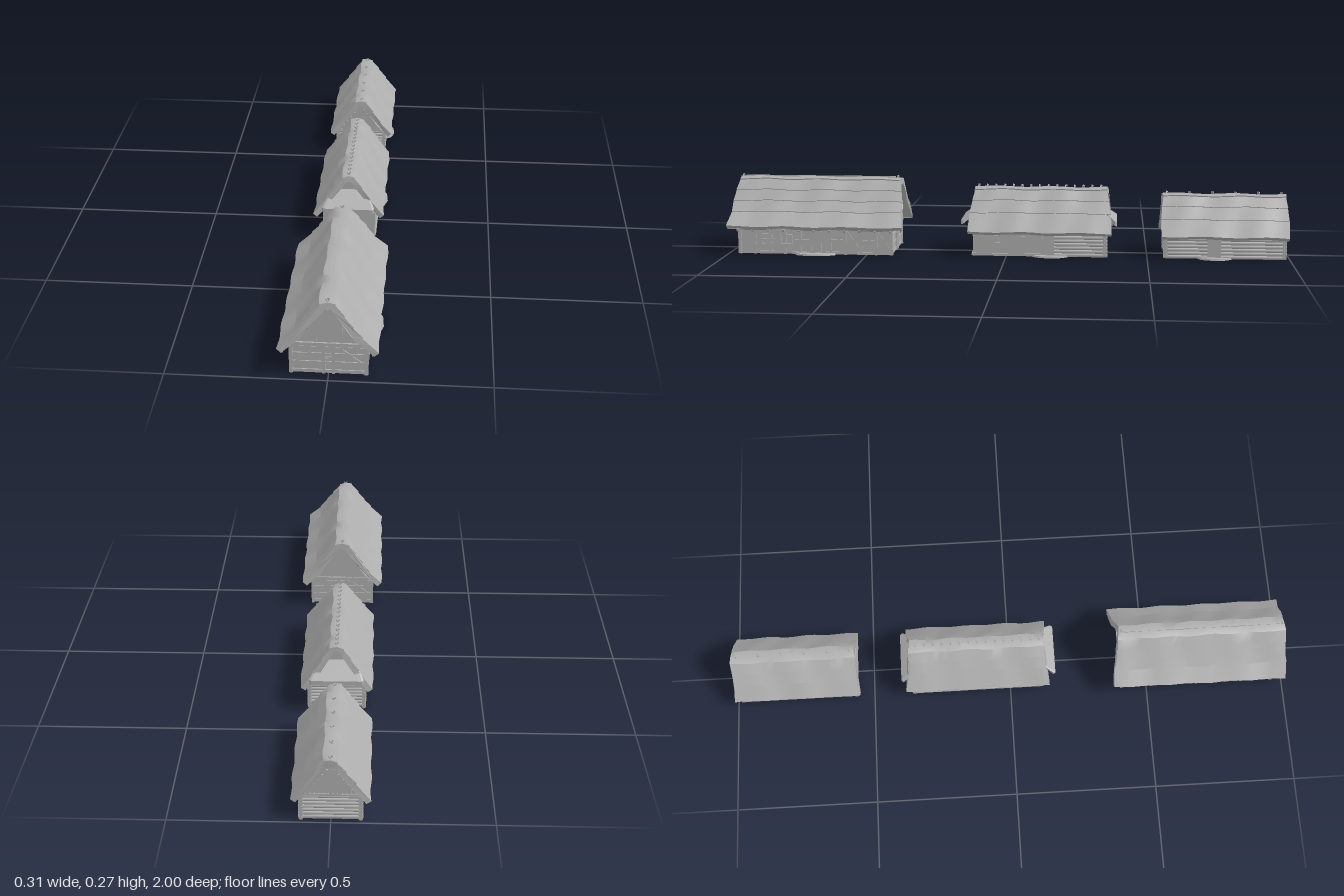
import * as THREE from 'three';
import { toCreasedNormals } from 'three/addons/utils/BufferGeometryUtils.js';
import { ConvexGeometry } from 'three/addons/geometries/ConvexGeometry.js';

const grey = new THREE.MeshStandardMaterial({ color: 0xaeaeae });
grey.name = 'weathered grey';

function add(g, name, geo) {
  const m = new THREE.Mesh(geo, grey);
  m.name = name;
  g.add(m);
  return m;
}

function box(g, name, w, h, d, x, y, z) {
  add(g, name, new THREE.BoxGeometry(w, h, d)).position.set(x, y, z);
}

// Squared timber from point a to point b
function beam(g, name, a, b, t = 0.008) {
  const A = new THREE.Vector3(...a), B = new THREE.Vector3(...b);
  const m = add(g, name, new THREE.BoxGeometry(t, t, A.distanceTo(B)));
  m.position.copy(A).lerp(B, 0.5);
  m.lookAt(B);
}

// Round log along x or z
function log(g, axis, len, r, x, y, z) {
  const geo = new THREE.CylinderGeometry(r, r, len, 8);
  if (axis === 'x') geo.rotateZ(Math.PI / 2); else geo.rotateX(Math.PI / 2);
  add(g, 'wallLog', geo).position.set(x, y, z);
}

// Solid body: outline in x/y, extruded between z0 and z1
function body(g, name, pts, z0, z1) {
  const geo = new THREE.ExtrudeGeometry(new THREE.Shape(pts.map(p => new THREE.Vector2(...p))), { depth: z1 - z0, bevelEnabled: false });
  add(g, name, geo.translate(0, 0, z0));
}

// Thatch: stepped courses over a mirrored profile, gently uneven, ends leaning inwards
function thatch(g, prof, z0, z1, thick, inset) {
  const P = prof.map(p => new THREE.Vector2(...p));
  const normal = (a, b) => new THREE.Vector2(a.y - b.y, b.x - a.x).normalize();
  const outer = [], inner = [];
  for (let i = 0; i < P.length - 1; i++) {
    const n = normal(P[i], P[i + 1]);
    outer.push(P[i].clone(), P[i + 1].clone().addScaledVector(n, 0.004));
    if (i) inner.unshift(P[i].clone().addScaledVector(n, -thick));
    if (i === P.length - 2) inner.unshift(P[i + 1].clone().addScaledVector(n, -thick * 0.8));
  }
  const half = [...outer, ...inner];
  const left = half.slice(1).reverse().map(p => new THREE.Vector2(-p.x, p.y));
  const nIn = inner.length;
  // Right outer, right inner, underside of ridge, left inner, left outer
  const ring = [...half, new THREE.Vector2(0, P[0].y - thick * 1.3), ...left.slice(0, nIn), ...left.slice(nIn)];
  const geo = new THREE.ExtrudeGeometry(new THREE.Shape(ring), { depth: z1 - z0, steps: 28, bevelEnabled: false });
  geo.translate(0, 0, z0);
  const pos = geo.attributes.position, zc = (z0 + z1) / 2;
  const top = P[0].y, low = P[P.length - 1].y;
  for (let i = 0; i < pos.count; i++) {
    const x = pos.getX(i), y = pos.getY(i), z = pos.getZ(i);
    const k = Math.max(0, (y - low) / (top - low)), e = (z - zc) / ((z1 - z0) / 2);
    pos.setXYZ(i, x + Math.sign(x) * 0.002 * Math.sin(z * 43 + y * 20),
      y + 0.002 * Math.sin(z * 29 + x * 25),
      z - e * (inset * k + 0.003 * (1 + Math.sin(x * 70))));
  }
  add(g, 'thatchedRoof', toCreasedNormals(geo, 0.6));
}

// Crossed sticks riding on the ridge
function riders(g, y, zs, len) {
  zs.forEach((z, i) => {
    for (const s of [-1, 1])
      beam(g, 'ridgeStick', [-s * 0.006, y + 0.007, z + s * 0.002], [s * len * 0.65, y - len * 0.72 + 0.002 * (i % 2), z + s * 0.003], 0.0035);
  });
}

const spread = (a, b, n) => Array.from({ length: n }, (_, i) => a + (b - a) * i / (n - 1));

// Window or door frame on the +x wall
function opening(g, name, x, y0, y1, z, w, cross) {
  const a = z - w / 2, b = z + w / 2, t = 0.005;
  for (const e of [a, b]) beam(g, name + 'Jamb', [x, y0, e], [x, y1, e], t);
  for (const y of [y0, y1]) beam(g, name + 'Rail', [x, y, a], [x, y, b], t);
  if (cross) beam(g, name + 'Bar', [x, y0, z], [x, y1, z], 0.003);
  else box(g, name + 'Panel', 0.008, y1 - y0, w, x - 0.003, (y0 + y1) / 2, z);
}

// Flat rounded stone in front of the door
function doorstep(g, x, z, reach, len) {
  const geo = new THREE.CylinderGeometry(1, 1.04, 0.006, 9);
  geo.scale(reach, 1, len / 2);
  add(g, 'doorstep', geo).position.set(x, 0.003, z);
}

function timberHouse() {
  const g = new THREE.Group();
  g.name = 'timberFramedHouse';
  const z0 = 0.41, z1 = 0.96, w = 0.115;
  body(g, 'walls', [[-w, 0], [w, 0], [w, 0.112], [0, 0.245], [-w, 0.112]], z0, z1);
  thatch(g, [[0, 0.267], [0.025, 0.257], [0.05, 0.222], [0.075, 0.186], [0.102, 0.15], [0.15, 0.102]], 0.367, 1, 0.02, 0.018);
  riders(g, 0.266, [0.4, 0.97], 0.016);
  beam(g, 'ridgePole', [0, 0.267, 0.41], [0, 0.267, 0.96], 0.005);
  // Gable frames at both ends
  for (const z of [z0, z1]) {
    for (const y of [0.01, 0.04, 0.07, 0.094]) beam(g, 'endRail', [-w, y, z], [w, y, z], 0.007);
    beam(g, 'tieBeam', [-0.125, 0.106, z], [0.125, 0.106, z], 0.012);
    beam(g, 'kingPost', [0, 0.11, z], [0, 0.24, z], 0.008);
    for (const s of [-1, 1]) {
      beam(g, 'cornerPost', [s * w, 0, z], [s * w, 0.1, z], 0.011);
      beam(g, 'middlePost', [s * 0.015, 0, z], [s * 0.015, 0.1, z], 0.01);
      beam(g, 'endBrace', [s * 0.1, 0.04, z], [s * 0.03, 0.096, z], 0.007);
      beam(g, 'gablePost', [s * 0.04, 0.11, z], [s * 0.04, 0.19, z], 0.007);
      beam(g, 'gableRafter', [s * 0.112, 0.113, z], [0, 0.243, z], 0.01);
    }
    for (const y of [0.05, 0.06]) beam(g, 'rung', [-0.012, y, z], [0.012, y, z], 0.004);
  }
  // Long walls
  for (const s of [-1, 1]) {
    const x = s * w;
    for (const y of [0.006, 0.05, 0.094]) beam(g, 'sideRail', [x, y, z0], [x, y, z1], 0.008);
    for (const z of spread(z0, z1, 11)) {
      beam(g, 'sidePost', [x, 0, z], [x, 0.1, z], 0.009);
      beam(g, 'rafterTail', [x, 0.1, z], [s * 0.143, 0.088, z], 0.008);
    }
    beam(g, 'eavesPole', [s * 0.137, 0.096, 0.375], [s * 0.137, 0.096, 0.995], 0.007);
    for (let i = 0; i < 4; i++) {
      const a = z0 + i * 0.055, up = i % 2;
      beam(g, 'sideBrace', [x, up ? 0.09 : 0.01, a], [x, up ? 0.01 : 0.09, a + 0.055], 0.007);
    }
  }
  for (const z of [0.86, 0.79]) opening(g, 'window', 0.12, 0.035, 0.07, z, 0.038, true);
  opening(g, 'door', 0.12, 0.004, 0.085, 0.683, 0.038, false);
  doorstep(g, 0.118, 0.685, 0.036, 0.15);
  return g;
}

function hippedHouse() {
  const g = new THREE.Group();
  g.name = 'halfHippedHouse';
  const w = 0.093, z0 = -0.35, z1 = 0.12;
  // Body, with an attic set back behind the smoke openings
  box(g, 'walls', w * 2, 0.115, z1 - z0, 0, 0.0575, (z0 + z1) / 2);
  body(g, 'attic', [[-w, 0.1], [w, 0.1], [0, 0.222]], -0.3, 0.075);
  thatch(g, [[0, 0.238], [0.022, 0.228], [0.047, 0.193], [0.075, 0.152], [0.12, 0.088]], -0.38, 0.142, 0.018, 0.02);
  riders(g, 0.238, spread(-0.335, 0.105, 15), 0.042);
  // Skirt roofs below the openings
  for (const [z, s] of [[z1, 1], [z0, -1]]) {
    const pts = [];
    for (const sx of [-1, 1])
      for (const d of [0, 0.016])
        pts.push([sx * 0.092, 0.113 + d, z + s * 0.036], [sx * 0.086, 0.111 + d, z + s * 0.043], [sx * 0.06, 0.158 + d, z - s * 0.022]);
    add(g, 'skirtRoof', new ConvexGeometry(pts.map(p => new THREE.Vector3(...p))));
    for (const sx of [-1, 1]) beam(g, 'openingRafter', [sx * 0.052, 0.16, z - s * 0.02], [0, 0.225, z - s * 0.02], 0.007);
  }
  // Log room at the back
  for (let i = 0; i < 8; i++) {
    const y = 0.0065 + i * 0.0125;
    for (const s of [-1, 1]) log(g, 'z', 0.19, 0.0068, s * w, y, -0.265);
    log(g, 'x', w * 2 + 0.016, 0.0068, 0, y + 0.004, z0);
  }
  for (const s of [-1, 1]) {
    beam(g, 'wallPlate', [s * 0.1, 0.095, -0.355], [s * 0.1, 0.095, 0.125], 0.01);
    beam(g, 'sill', [s * w, 0.005, z0], [s * w, 0.005, z1], 0.009);
  }
  beam(g, 'sill', [-w, 0.005, z1], [w, 0.005, z1], 0.009);
  for (const z of [0.03, -0.055]) opening(g, 'window', 0.094, 0.045, 0.07, z, 0.026, true);
  opening(g, 'door', 0.099, 0.004, 0.082, -0.148, 0.04, false);
  // Front window
  for (const s of [-1, 1]) {
    beam(g, 'frontWindowJamb', [s * 0.012, 0.045, z1], [s * 0.012, 0.073, z1], 0.005);
    beam(g, 'frontWindowRail', [-0.012, 0.059 + s * 0.014, z1], [0.012, 0.059 + s * 0.014, z1], 0.005);
  }
  doorstep(g, 0.094, -0.155, 0.033, 0.13);
  return g;
}

function logHouse() {
  const g = new THREE.Group();
  g.name = 'logHouse';
  const w = 0.091, z0 = -0.98, z1 = -0.565;
  body(g, 'walls', [[-w, 0], [w, 0], [w, 0.085], [0, 0.203], [-w, 0.085]], z0, z1);
  thatch(g, [[0, 0.22], [0.022, 0.211], [0.047, 0.177], [0.077, 0.136], [0.118, 0.08]], -1, -0.545, 0.018, 0.006);
  riders(g, 0.219, spread(-0.975, -0.57, 6), 0.016);
  for (let i = 0; i < 7; i++) {
    const y = 0.0065 + i * 0.0125;
    for (const s of [-1, 1]) log(g, 'z', z1 - z0 + 0.016, 0.0068, s * w, y, (z0 + z1) / 2);
    for (const z of [z0, z1]) log(g, 'x', w * 2 + 0.016, 0.0068, 0, y + 0.004, z);
  }
  // Upright boards closing the gables
  for (const z of [z0, z1]) {
    for (const x of spread(-0.07, 0.07, 11)) {
      const h = 0.115 * (1 - Math.abs(x) / w);
      box(g, 'gableBoard', 0.011, h, 0.008, x, 0.085 + h / 2, z);
    }
    beam(g, 'tieBeam', [-0.1, 0.09, z], [0.1, 0.09, z], 0.011);
  }
  for (const s of [-1, 1]) beam(g, 'wallPlate', [s * 0.1, 0.088, -0.99], [s * 0.1, 0.088, -0.555], 0.01);
  opening(g, 'door', 0.097, 0.004, 0.076, -0.735, 0.042, false);
  doorstep(g, 0.092, -0.737, 0.034, 0.12);
  return g;
}

export function createModel() {
  const model = new THREE.Group();
  model.name = 'thatchedFarmHouses';
  model.add(timberHouse(), hippedHouse(), logHouse());
  return model;
}
